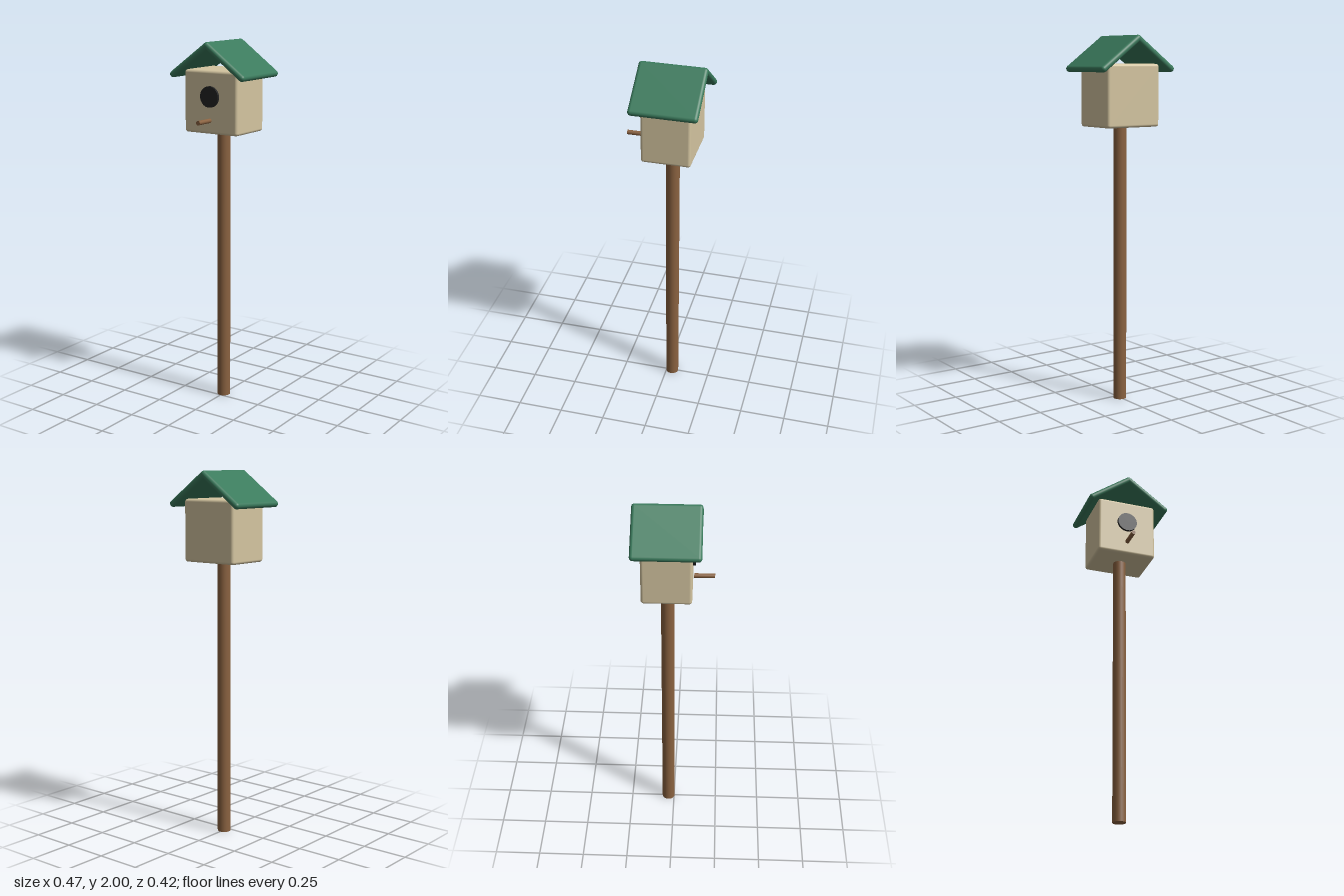
import * as THREE from 'three';
import { RoundedBoxGeometry } from 'three/addons/geometries/RoundedBoxGeometry.js';

const paint = (name, color) => {
  const m = new THREE.MeshStandardMaterial({ color });
  m.name = name;
  return m;
};

export function createModel() {
  const cream = paint('cream', 0xd4c5a0);
  const green = paint('green', 0x3a7a5c);
  const brown = paint('brown', 0x8a6240);
  const black = paint('black', 0x222222);

  const model = new THREE.Group();
  model.name = 'birdhouse';
  const add = (name, geometry, material, x, y, z) => {
    const mesh = new THREE.Mesh(geometry, material);
    mesh.name = name;
    mesh.position.set(x, y, z);
    model.add(mesh);
    return mesh;
  };
  const midZ = -0.033;

  // Post and house body
  add('post', new THREE.CylinderGeometry(0.036, 0.036, 1.53, 24), brown, 0, 0.765, midZ);
  add('house', new RoundedBoxGeometry(0.335, 0.335, 0.262, 4, 0.015), cream, 0, 1.683, midZ);

  // Entrance disc and perch on the front
  add('entranceHole', new THREE.CylinderGeometry(0.056, 0.056, 0.014, 32), black, 0, 1.714, 0.105)
    .rotation.x = Math.PI / 2;
  add('perch', new THREE.CylinderGeometry(0.012, 0.012, 0.108, 16), brown, 0, 1.588, 0.158)
    .rotation.x = Math.PI / 2;

  // Two rounded roof panels meeting at the ridge, with open gables
  const r = 0.0175;
  const ridgeY = 2 - r, eaveX = 0.234 - r, eaveY = 1.825;
  const slope = Math.atan2(ridgeY - eaveY, eaveX);
  const length = Math.hypot(eaveX, ridgeY - eaveY) + 2 * r;
  for (const side of [1, -1]) {
    const panel = add(side > 0 ? 'roofLeft' : 'roofRight',
      new RoundedBoxGeometry(length, 2 * r, 0.358, 4, r - 0.0005), green,
      side * eaveX / 2, (ridgeY + eaveY) / 2, midZ);
    panel.rotation.z = -side * slope;
  }
  return model;
}
